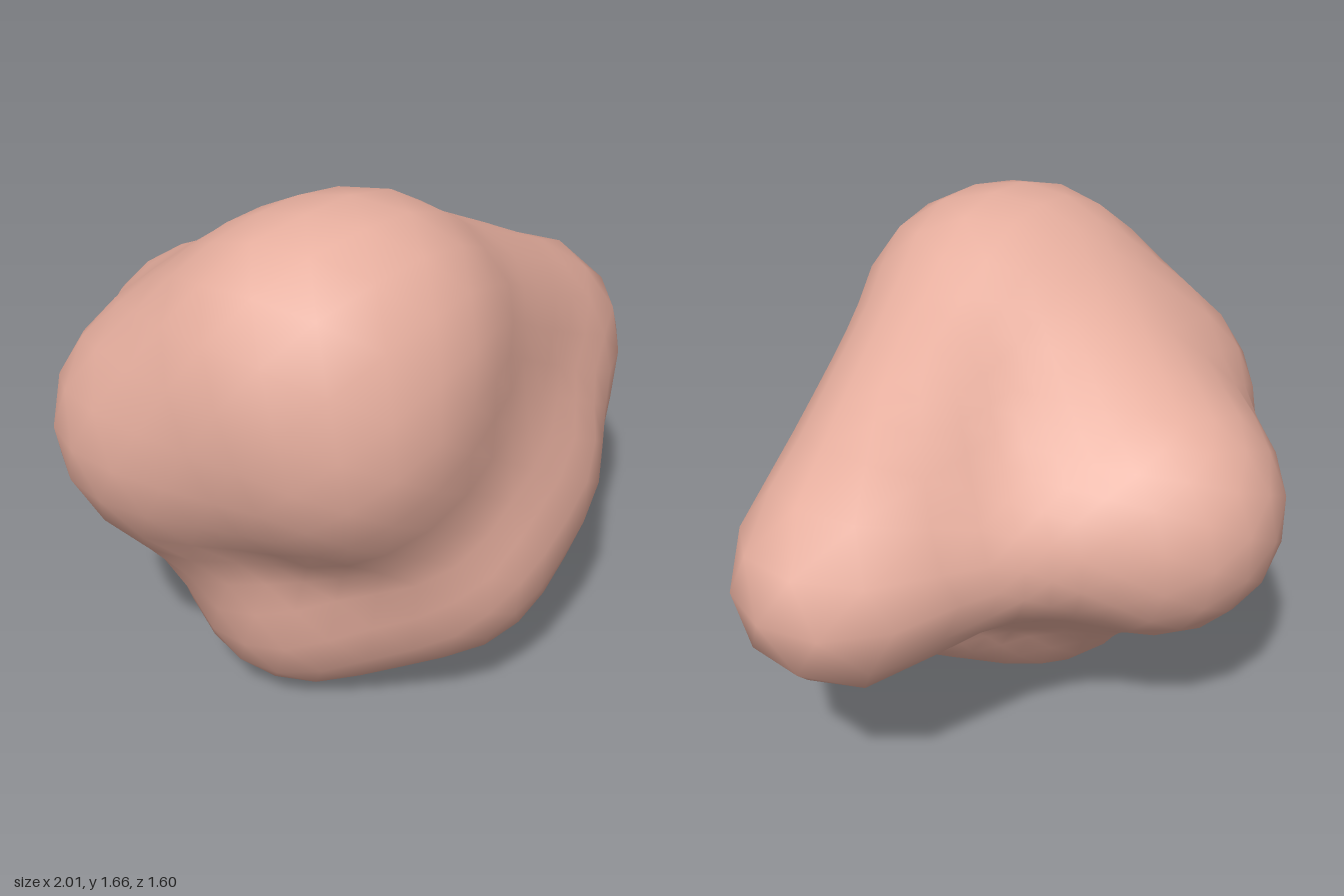
import * as THREE from 'three';
import { mergeVertices } from 'three/addons/utils/BufferGeometryUtils.js';

// Corner lobes: centre x, y, z and radius
const LOBES = {
  A: [0.68, 0.82, 0.14, 0.33], // arm
  B: [-0.20, 0.82, -0.40, 0.385], // back
  E: [-0.33, 0.335, 0.13, 0.34], // foot
  F: [-0.08, 0.47, 0.46, 0.335], // foot, front
  G: [0.20, 0.62, 0.42, 0.325], // foot, towards the arm
  L: [-0.63, 0.93, -0.06, 0.37], // side
  M: [-0.45, 1.03, 0.41, 0.36], // upper front
  T: [-0.30, 1.25, 0.36, 0.37], // top
  U: [-0.52, 1.235, 0.32, 0.37], // top, side
};
// Facets spanned between lobes, with the sag in their middle
const FACETS = {
  TAG: 0.03, TGM: 0.03, MGF: 0.03, MFE: 0.06, MEL: 0.04, MLU: 0, TMU: 0,
  LEB: 0.03, LBU: 0, UBT: 0, TBA: 0.02, ABG: 0.05, BGE: 0.03, EGF: 0,
};
// Sag along the edges that are hollow (negative bulges)
const EDGES = {
  AB: 0.1, BE: 0.04, BG: 0.08, BL: 0.04, BT: 0.03, EG: -0.02,
  EL: 0.05, EM: 0.07, FM: 0.05, GM: 0.03, GT: 0.02,
};
const STEPS = 6;
const BLEND = 0.025;
const INSET = 0.035; // makes up for the swelling of the blend
const CENTRE = new THREE.Vector3(-0.1, 0.82, 0.08);

const edgeSag = (a, b) => EDGES[[a, b].sort().join('')] ?? 0;

// Fill each facet with spheres whose size runs from lobe to lobe
function makeSpheres() {
  const spheres = [[-0.1, 0.82, 0.05, 0.48]];
  for (const [names, sag] of Object.entries(FACETS)) {
    const [a, b, c] = names;
    for (let i = 0; i <= STEPS; i++) {
      for (let j = 0; j <= STEPS - i; j++) {
        const u = i / STEPS, v = j / STEPS, w = 1 - u - v;
        const s = LOBES[a].map((q, k) => q * u + LOBES[b][k] * v + LOBES[c][k] * w);
        s[3] -= INSET + 27 * u * v * w * sag
          + 4 * (u * v * edgeSag(a, b) + v * w * edgeSag(b, c) + w * u * edgeSag(c, a));
        spheres.push(s);
      }
    }
  }
  return spheres;
}

// Smoothly blended distance to the spheres, negative inside
function distance(p, spheres) {
  let sum = 0;
  for (const [x, y, z, r] of spheres) {
    sum += Math.exp((r - Math.hypot(p.x - x, p.y - y, p.z - z)) / BLEND);
  }
  return -BLEND * Math.log(sum);
}

// Push each point of a ball out to the blended surface
function lumpGeometry() {
  let geo = new THREE.IcosahedronGeometry(1, 6);
  geo.deleteAttribute('uv');
  geo.deleteAttribute('normal');
  geo = mergeVertices(geo, 1e-4);
  const spheres = makeSpheres();
  const pos = geo.attributes.position;
  const dir = new THREE.Vector3();
  const p = new THREE.Vector3();
  for (let i = 0; i < pos.count; i++) {
    dir.fromBufferAttribute(pos, i).normalize();
    let near = 0.3, far = 1.5;
    for (let k = 0; k < 18; k++) {
      const mid = (near + far) / 2;
      p.copy(CENTRE).addScaledVector(dir, mid);
      if (distance(p, spheres) < 0) near = mid; else far = mid;
    }
    pos.setXYZ(i, p.x, p.y, p.z);
  }
  geo.computeVertexNormals();
  return geo;
}

export function createModel() {
  const group = new THREE.Group();
  const lump = new THREE.Mesh(lumpGeometry(), new THREE.MeshStandardMaterial({ color: 0xe6ae9e }));
  lump.name = 'lump';
  group.add(lump);
  return group;
}
